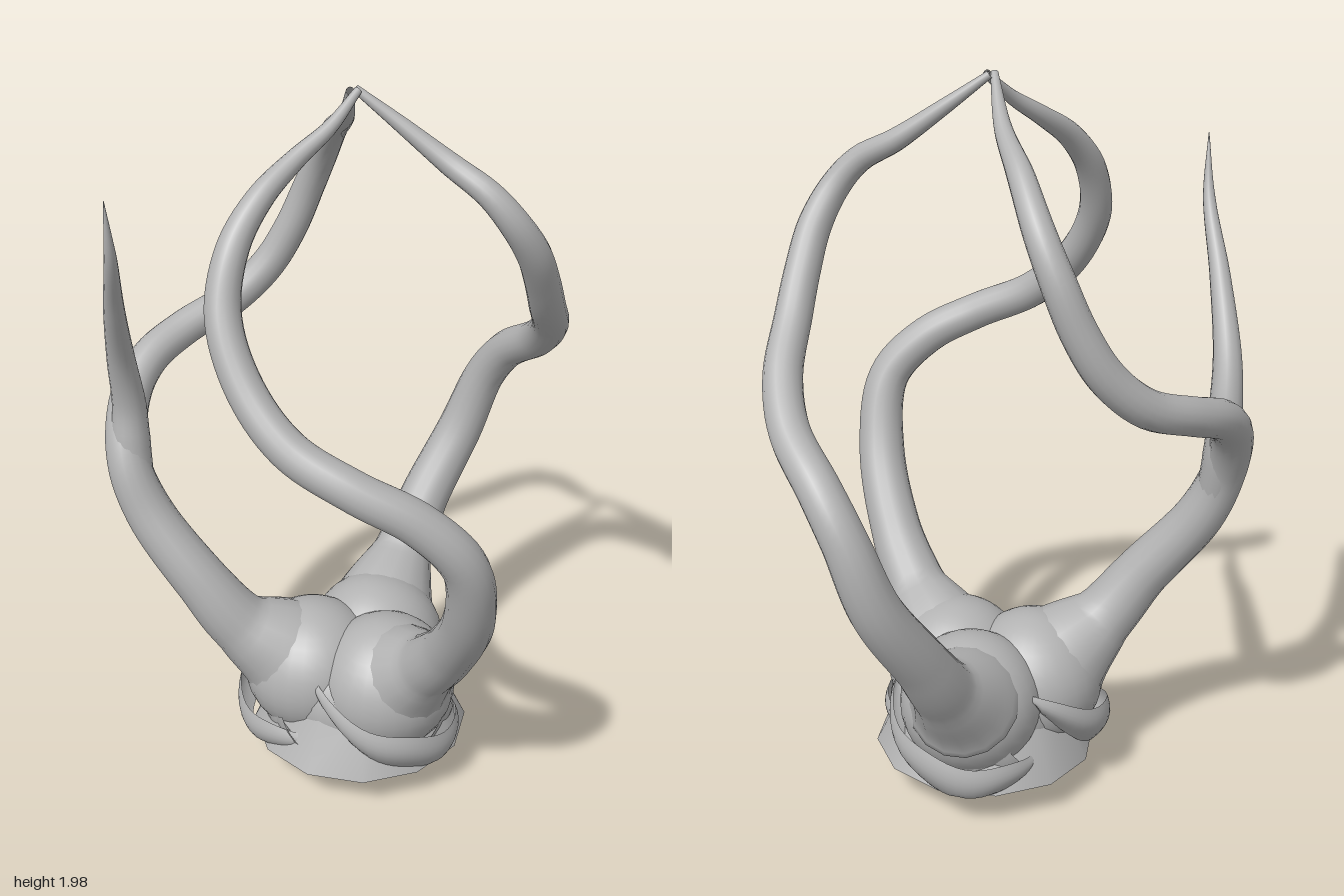
import * as THREE from 'three';
import { mergeVertices } from 'three/addons/utils/BufferGeometryUtils.js';

const clay = new THREE.MeshStandardMaterial({ color: 0xb3b3b3, side: THREE.DoubleSide });
clay.name = 'clay grey';

// Weld the vertices and smooth the normals
function smooth(geo) {
  geo.deleteAttribute('uv');
  geo.deleteAttribute('normal');
  const g = mergeVertices(geo, 1e-5);
  g.computeVertexNormals();
  return g;
}

// Tube whose radius follows the fourth number of each [x, y, z, r] point
function taperedTube(pts, rows = 100, sides = 16) {
  const path = new THREE.CatmullRomCurve3(pts.map(p => new THREE.Vector3(p[0], p[1], p[2])));
  const radii = pts.map(p => p[3]);
  const geo = new THREE.TubeGeometry(path, rows, 1, sides);
  const pos = geo.attributes.position, nor = geo.attributes.normal;
  for (let i = 0; i <= rows; i++) {
    const u = i / rows, c = path.getPointAt(u);
    const t = path.getUtoTmapping(u) * (radii.length - 1);
    const k = Math.min(Math.floor(t), radii.length - 2);
    const r = THREE.MathUtils.lerp(radii[k], radii[k + 1], t - k);
    for (let j = 0; j <= sides; j++) {
      const n = i * (sides + 1) + j;
      pos.setXYZ(n, c.x + nor.getX(n) * r, c.y + nor.getY(n) * r, c.z + nor.getZ(n) * r);
    }
  }
  return smooth(geo);
}

// Leaf that wraps around the foot of an arm, high at one end and low at the other
function collarGeometry() {
  const geo = new THREE.PlaneGeometry(1, 1, 28, 8), pos = geo.attributes.position;
  for (let i = 0; i < pos.count; i++) {
    const u = pos.getX(i) + 0.5, v = 0.5 - pos.getY(i);
    const a = THREE.MathUtils.lerp(-1.7, 1.5, u);
    const top = 0.2 + 0.165 * Math.pow(1 - u, 2) + 0.006 * Math.sin(u * 17);
    const height = 0.03 + 0.1 * Math.sqrt(Math.max(0, Math.sin(Math.PI * u)));
    const r = (0.21 + 0.016 * Math.sin(v * Math.PI) - 0.03 * v * v) * (1.02 - 0.1 * u * u);
    pos.setXYZ(i, Math.sin(a) * r, Math.max(top - height * v, 0.118), Math.cos(a) * r);
  }
  return smooth(geo);
}

export function createModel() {
  const model = new THREE.Group();
  const add = (name, geo) => {
    const m = new THREE.Mesh(geo, clay);
    m.name = name;
    model.add(m);
    return m;
  };

  // Three twisting arms that meet at the top
  const arms = {
    frontArm: [
      [0.01, 0.25, 0.06, 0.1], [0.02, 0.36, 0.14, 0.155], [0.02, 0.47, 0.265, 0.087],
      [0.01, 0.6, 0.385, 0.073], [-0.03, 0.8, 0.52, 0.066], [-0.09, 1.0, 0.57, 0.058], [-0.19, 1.12, 0.52, 0.055],
      [-0.31, 1.2, 0.43, 0.052], [-0.41, 1.28, 0.3, 0.05], [-0.455, 1.4, 0.175, 0.048], [-0.455, 1.55, 0.08, 0.045],
      [-0.4, 1.69, 0.035, 0.04], [-0.31, 1.79, 0.01, 0.033], [-0.2, 1.86, -0.01, 0.025], [-0.1, 1.92, -0.015, 0.018],
      [-0.01, 1.99, -0.035, 0.01]],
    leftArm: [
      [0.09, 0.25, -0.12, 0.1], [0.165, 0.36, -0.185, 0.155], [0.28, 0.47, -0.26, 0.087],
      [0.375, 0.6, -0.3, 0.073], [0.51, 0.8, -0.31, 0.066], [0.565, 0.98, -0.27, 0.058], [0.583, 1.09, -0.19, 0.055],
      [0.575, 1.19, -0.04, 0.052], [0.525, 1.29, 0.075, 0.05], [0.44, 1.4, 0.165, 0.048], [0.38, 1.5, 0.215, 0.046],
      [0.32, 1.6, 0.25, 0.044], [0.258, 1.69, 0.25, 0.039], [0.21, 1.76, 0.21, 0.034], [0.155, 1.82, 0.12, 0.029],
      [0.075, 1.905, 0.03, 0.02], [-0.01, 1.99, -0.05, 0.01]],
    rightArm: [
      [-0.12, 0.25, -0.11, 0.1], [-0.195, 0.36, -0.14, 0.155], [-0.315, 0.47, -0.185, 0.088],
      [-0.395, 0.6, -0.24, 0.075], [-0.49, 0.8, -0.36, 0.066], [-0.515, 0.95, -0.42, 0.058], [-0.465, 1.09, -0.49, 0.055],
      [-0.38, 1.165, -0.54, 0.052], [-0.25, 1.215, -0.572, 0.05], [-0.1, 1.27, -0.57, 0.049], [0, 1.36, -0.542, 0.048],
      [0.06, 1.47, -0.51, 0.046], [0.1, 1.6, -0.47, 0.043], [0.108, 1.7, -0.41, 0.039], [0.08, 1.805, -0.3, 0.033],
      [0.03, 1.885, -0.16, 0.022], [-0.03, 1.99, -0.04, 0.01]],
  };
  for (const name in arms) add(name, taperedTube(arms[name]));

  // Thorn branching off the right arm
  add('thorn', taperedTube([
    [-0.505, 0.88, -0.4, 0.05], [-0.5, 1.0, -0.425, 0.053], [-0.495, 1.1, -0.43, 0.046], [-0.52, 1.25, -0.4, 0.038],
    [-0.57, 1.45, -0.3, 0.027], [-0.61, 1.63, -0.2, 0.016], [-0.63, 1.79, -0.165, 0.001]], 40));

  // A round bulb and a collar at the foot of each arm
  const bulb = smooth(new THREE.SphereGeometry(0.195, 28, 20));
  const collar = collarGeometry();
  [[0.01, 0.07], [0.095, -0.12], [-0.125, -0.11]].forEach(([x, z], i) => {
    add('bulb', bulb).position.set(x, 0.305, z);
    const m = add('collar', collar);
    m.position.set(x, 0, z);
    m.rotation.y = i * Math.PI * 2 / 3;
  });

  // Core, and the faceted skirt with its level lower edge
  add('core', smooth(new THREE.SphereGeometry(1, 24, 16).scale(0.24, 0.2, 0.24).translate(-0.01, 0.25, -0.04)));
  const skirt = new THREE.CylinderGeometry(0.225, 0.308, 0.17, 12, 1, true);
  add('skirt', smooth(skirt.translate(-0.01, 0.2, -0.04)));

  // Two overlapping rings of petals woven under the base
  for (let i = 0; i < 6; i++) {
    const outer = i % 2 === 0, r = outer ? 0.22 : 0.238;
    const petal = new THREE.SphereGeometry(1, 16, 8, Math.PI / 2 - 1, 2, Math.PI / 2 - 0.4, 0.8);
    petal.rotateZ(outer ? 0.35 : -0.55).rotateX(outer ? 0.85 : 0.95);
    petal.scale(r, outer ? 0.23 : 0.222, r).translate(0, 0.235, outer ? 0.065 : 0.045);
    petal.rotateY(i * Math.PI / 3).translate(-0.01, 0, -0.04);
    add('petal', smooth(petal));
  }
  return model;
}
